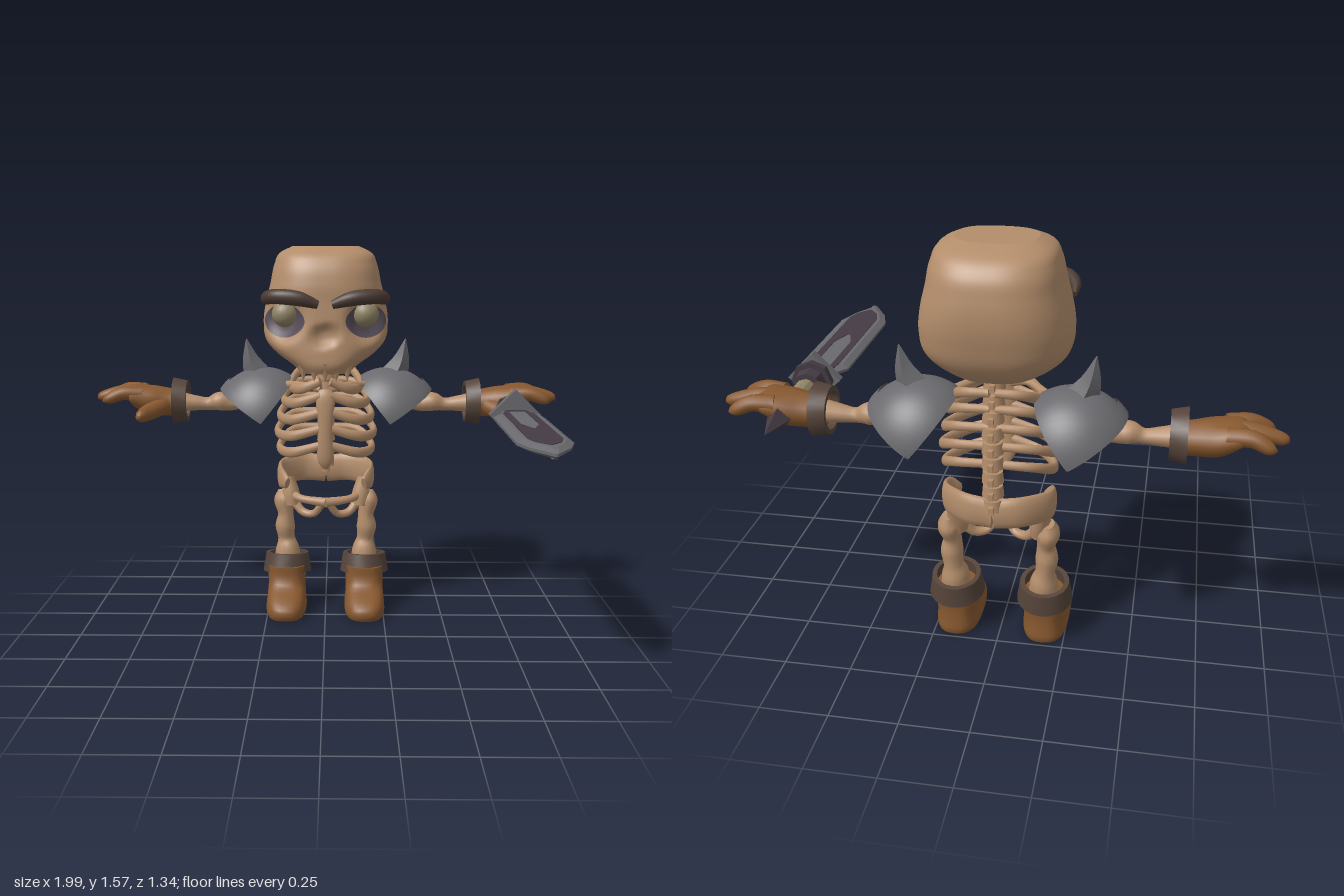
import * as THREE from 'three';
import { toCreasedNormals } from 'three/addons/utils/BufferGeometryUtils.js';

const mat = (name, color, side = THREE.FrontSide) => {
  const m = new THREE.MeshStandardMaterial({ color, side });
  m.name = name;
  return m;
};

// Smooth interpolation through rows of numbers
const smooth = (keys, rows) =>
  new THREE.CubicInterpolant(new Float32Array(keys), new Float32Array(rows.flat()), rows[0].length);

// Skin a list of closed rings, with flat end caps
function loft(rings) {
  const pos = [], idx = [], n = rings[0].length;
  const put = ring => ring.forEach(p => pos.push(p.x, p.y, p.z));
  rings.forEach(put);
  for (let i = 0; i < rings.length - 1; i++) {
    for (let k = 0; k < n; k++) {
      const a = i * n + k, b = i * n + (k + 1) % n;
      idx.push(a, b, b + n, a, b + n, a + n);
    }
  }
  [[rings[0], true], [rings[rings.length - 1], false]].forEach(([ring, start]) => {
    const base = pos.length / 3;
    put(ring);
    const c = ring.reduce((s, p) => s.add(p), new THREE.Vector3()).divideScalar(n);
    pos.push(c.x, c.y, c.z);
    for (let k = 0; k < n; k++) {
      const a = base + k, b = base + (k + 1) % n;
      idx.push(base + n, start ? b : a, start ? a : b);
    }
  });
  const g = new THREE.BufferGeometry();
  g.setAttribute('position', new THREE.Float32BufferAttribute(pos, 3));
  g.setIndex(idx);
  g.computeVertexNormals();
  return g;
}

// Sweep an ellipse along rows of [x, y, z, width radius, height radius]
function sweep(rows, up = [0, 1, 0], sides = 12, perRow = 5) {
  const f = smooth(rows.map((r, i) => i), rows), steps = (rows.length - 1) * perRow;
  const at = t => Array.from(f.evaluate(t)), U = new THREE.Vector3(...up), rings = [];
  for (let i = 0; i <= steps; i++) {
    const t = i / perRow, [x, y, z, a, b] = at(t);
    const p0 = at(Math.max(0, t - 0.05)), p1 = at(Math.min(rows.length - 1, t + 0.05));
    const T = new THREE.Vector3(p1[0] - p0[0], p1[1] - p0[1], p1[2] - p0[2]).normalize();
    const W = U.clone().cross(T).normalize(), V = T.clone().cross(W);
    rings.push(Array.from({ length: sides }, (_, k) => {
      const q = k / sides * Math.PI * 2;
      return new THREE.Vector3(x, y, z).addScaledVector(W, a * Math.cos(q)).addScaledVector(V, b * Math.sin(q));
    }));
  }
  return loft(rings);
}

// Rounded horizontal section: half width, front z, back z
function section(q, y, [hw, zf, zb], n) {
  const pw = v => Math.sign(v) * Math.pow(Math.abs(v), 2 / n);
  return new THREE.Vector3(hw * pw(Math.sin(q)), y, (zf + zb) / 2 + (zf - zb) / 2 * pw(Math.cos(q)));
}

function mirrored(geo) {
  const g = geo.clone().scale(-1, 1, 1);
  const i = g.index ? Array.from(g.index.array) : Array.from({ length: g.attributes.position.count }, (_, k) => k);
  for (let k = 0; k < i.length; k += 3) [i[k], i[k + 1]] = [i[k + 1], i[k]];
  g.setIndex(i);
  return g;
}

export function createModel() {
  const root = new THREE.Group();
  root.name = 'skeletonWarrior';
  const bone = mat('bone', 0xb38d6b), leather = mat('leather', 0x87582f);
  const cuffMat = mat('darkLeather', 0x55443a, THREE.DoubleSide), browMat = mat('brow', 0x4b3b34);
  const steel = mat('steel', 0x6a696d, THREE.DoubleSide), dark = mat('darkSteel', 0x443b44);
  const socketMat = mat('socket', 0x574d57, THREE.DoubleSide), wrap = mat('wrap', 0x918467);
  const add = (name, geo, m) => {
    const mesh = new THREE.Mesh(geo, m);
    mesh.name = name;
    root.add(mesh);
  };
  const pair = (name, geo, m) => {
    add(name + 'Left', geo, m);
    add(name + 'Right', mirrored(geo), m);
  };

  // Skull, with hollowed eye sockets and nose
  const skullRows = [
    [1.06, 0.10, -0.17, -0.40], [1.09, 0.14, -0.155, -0.53], [1.13, 0.20, -0.155, -0.59],
    [1.18, 0.248, -0.16, -0.63], [1.26, 0.262, -0.165, -0.657], [1.34, 0.252, -0.17, -0.67],
    [1.42, 0.232, -0.175, -0.665], [1.5, 0.214, -0.20, -0.64], [1.545, 0.19, -0.24, -0.59], [1.57, 0.14, -0.30, -0.52]];
  const skullAt = smooth(skullRows.map(r => r[0]), skullRows.map(r => r.slice(1)));
  const hollows = [[0.18, 1.275, -0.21, 0.085, 0.045], [-0.18, 1.275, -0.21, 0.085, 0.045], [0, 1.215, -0.162, 0.042, 0.035]];
  const skullPoint = (q, y, lift = 0) => {
    const p = section(q, y, skullAt.evaluate(y), 2.6);
    const out = new THREE.Vector3(p.x, 0, p.z + 0.41).normalize();
    for (const [x, hy, z, r, depth] of hollows) {
      const d = Math.hypot(p.x - x, p.y - hy, p.z - z) / r;
      lift -= depth * Math.exp(-(d ** 4));
    }
    return p.addScaledVector(out, lift);
  };
  add('skull', loft(Array.from({ length: 53 }, (_, i) => Array.from({ length: 80 }, (_, k) =>
    skullPoint(k / 80 * Math.PI * 2, 1.06 + 0.51 * i / 52)))), bone);

  // Socket lining that follows the skull surface, then eyes, brows and teeth
  const disc = new THREE.RingGeometry(0.001, 1, 36, 10), dp = disc.attributes.position;
  for (let i = 0; i < dp.count; i++) {
    const p = skullPoint(0.7 + 0.48 * dp.getX(i), 1.272 + 0.068 * dp.getY(i), 0.007);
    dp.setXYZ(i, p.x, p.y, p.z);
  }
  disc.computeVertexNormals();
  pair('eyeSocket', disc, socketMat);
  pair('eye', new THREE.SphereGeometry(0.055, 20, 14).translate(0.163, 1.3, -0.238), wrap);
  pair('brow', sweep([[0.03, 1.34, -0.175, 0.02, 0.018], [0.11, 1.365, -0.165, 0.026, 0.03],
    [0.2, 1.372, -0.19, 0.03, 0.03], [0.242, 1.362, -0.25, 0.022, 0.026], [0.248, 1.345, -0.31, 0.008, 0.01]]), browMat);
  for (let i = -2; i <= 2; i++) {
    const tooth = new THREE.ConeGeometry(0.028, 0.075, 8).rotateX(Math.PI);
    add('tooth', tooth.translate(i * 0.045, 1.065, -0.178 - 0.008 * i * i), bone);
  }

  // Spine
  const core = [[0, 0.58, -0.53], [0, 0.75, -0.535], [0, 0.92, -0.525], [0, 1.1, -0.48]];
  add('spineCore', sweep(core.map(p => [...p, 0.024, 0.024]), [0, 0, 1]), bone);
  const spineAt = smooth(core.map(p => p[1]), core);
  for (let i = 0; i < 9; i++) {
    const y = 0.63 + i * 0.056, z = spineAt.evaluate(y)[2];
    add('vertebra', new THREE.CylinderGeometry(0.036, 0.04, 0.042, 12).translate(0, y, z), bone);
    add('vertebraSpur', new THREE.BoxGeometry(0.018, 0.025, 0.03).translate(0, y - 0.005, z - 0.04), bone);
  }

  // Rib cage
  [[0.715, 0.2], [0.785, 0.208], [0.855, 0.197], [0.925, 0.18], [0.985, 0.15]].forEach(([y, w], i) => {
    pair('rib' + i, sweep([[0.01, y + 0.07, -0.53, 0.014, 0.016], [w * 0.7, y + 0.06, -0.515, 0.014, 0.018],
      [w, y + 0.005, -0.4, 0.014, 0.021], [w * 0.72, y, -0.28, 0.014, 0.022], [0.02, y + 0.035, -0.25, 0.014, 0.018]]), bone);
  });
  add('sternum', sweep([[0, 0.65, -0.258, 0.012, 0.01], [0, 0.7, -0.25, 0.034, 0.02], [0, 0.83, -0.245, 0.03, 0.02],
    [0, 0.94, -0.25, 0.04, 0.02], [0, 0.985, -0.26, 0.03, 0.014]], [0, 0, 1]), bone);
  pair('collarbone', sweep([[0.02, 0.985, -0.265, 0.018, 0.016], [0.1, 1.0, -0.3, 0.014, 0.014], [0.22, 0.98, -0.44, 0.022, 0.02]]), bone);

  // Pelvis: hip wings and the lower ring
  pair('hipWing', sweep([[0, 0.59, -0.54, 0.026, 0.06], [0.1, 0.6, -0.53, 0.02, 0.062], [0.185, 0.595, -0.46, 0.016, 0.06],
    [0.195, 0.585, -0.39, 0.014, 0.052], [0.165, 0.565, -0.345, 0.012, 0.026]]), bone);
  pair('hipSocket', sweep([[0.15, 0.45, -0.42, 0.035, 0.04], [0.155, 0.5, -0.43, 0.04, 0.045], [0.165, 0.57, -0.45, 0.025, 0.045]], [0, 0, 1]), bone);
  pair('pubis', sweep([[0.15, 0.5, -0.42, 0.02, 0.022], [0.1, 0.49, -0.37, 0.016, 0.017], [0, 0.48, -0.345, 0.02, 0.022]]), bone);
  pair('sitBone', sweep([[0.14, 0.47, -0.42, 0.02, 0.02], [0.1, 0.425, -0.4, 0.018, 0.02],
    [0.05, 0.425, -0.375, 0.016, 0.018], [0.015, 0.475, -0.35, 0.016, 0.016]], [0, 0, 1]), bone);

  // Legs and boots
  pair('leg', sweep([[0.17, 0.17, -0.42, 0.06, 0.06], [0.17, 0.25, -0.43, 0.052, 0.06], [0.175, 0.3, -0.435, 0.037, 0.045],
    [0.18, 0.355, -0.43, 0.043, 0.05], [0.177, 0.41, -0.43, 0.034, 0.044], [0.187, 0.47, -0.44, 0.042, 0.054],
    [0.187, 0.515, -0.45, 0.022, 0.03]], [0, 0, 1]), bone);
  const bootRows = [[0.005, 0.082, -0.162, -0.482], [0.02, 0.087, -0.153, -0.487], [0.06, 0.085, -0.162, -0.484], [0.09, 0.082, -0.21, -0.482],
    [0.115, 0.081, -0.262, -0.482], [0.15, 0.082, -0.285, -0.485], [0.2, 0.084, -0.29, -0.49]];
  const bootAt = smooth(bootRows.map(r => r[0]), bootRows.map(r => r.slice(1)));
  const bootRings = Array.from({ length: 17 }, (_, i) => {
    const y = 0.005 + 0.195 * i / 16, row = bootAt.evaluate(y);
    return Array.from({ length: 32 }, (_, k) => section(k / 32 * Math.PI * 2, y, row, 2.7));
  });
  pair('boot', loft(bootRings).translate(0.17, 0, 0), leather);
  const cuff = r => toCreasedNormals(new THREE.LatheGeometry([[0.075, -0.04], [0.106, -0.04], [0.093, 0.04], [0.075, 0.04], [0.075, -0.04]]
    .map(([x, y]) => new THREE.Vector2(x * r, y)), 20), 0.6);
  pair('bootCuff', cuff(1).scale(1, 1, 1.05).rotateX(-0.14).translate(0.17, 0.2, -0.405), cuffMat);

  // Arms, glove cuffs and gloves
  pair('arm', sweep([[0.19, 0.97, -0.45, 0.035, 0.035], [0.3, 0.925, -0.45, 0.026, 0.028], [0.4, 0.9, -0.45, 0.03, 0.032],
    [0.46, 0.907, -0.45, 0.042, 0.042], [0.51, 0.897, -0.45, 0.027, 0.028], [0.57, 0.9, -0.45, 0.036, 0.034], [0.64, 0.905, -0.45, 0.048, 0.045]]), bone);
  pair('gloveCuff', cuff(0.95).scale(1, 0.75, 1).rotateZ(Math.PI / 2).translate(0.63, 0.91, -0.45), cuffMat);
  pair('glovePalm', sweep([[0.62, 0.9, -0.45, 0.06, 0.055], [0.69, 0.905, -0.45, 0.07, 0.062], [0.76, 0.915, -0.45, 0.09, 0.064],
    [0.83, 0.94, -0.455, 0.097, 0.044], [0.865, 0.94, -0.455, 0.07, 0.022]]), leather);
  [[-0.51, 0.95, -0.54], [-0.455, 0.995, -0.46], [-0.4, 0.955, -0.375]].forEach(([z0, tipX, z1], i) => {
    pair('finger' + i, sweep([[0.79, 0.945, z0, 0.034, 0.034], [0.87, 0.95, (z0 + z1) / 2, 0.031, 0.03],
      [tipX - 0.025, 0.928, z1, 0.024, 0.023], [tipX, 0.918, z1, 0.006, 0.006]]), leather);
  });
  pair('thumb', sweep([[0.7, 0.895, -0.41, 0.04, 0.04], [0.755, 0.875, -0.34, 0.036, 0.035],
    [0.775, 0.868, -0.275, 0.024, 0.026], [0.776, 0.868, -0.25, 0.006, 0.006]]), leather);

  // Shoulder plates: wedges of a dome, with rim and spike
  const wedge = (r, from, to) => new THREE.SphereGeometry(r, 20, 24, Math.PI + from, to - from)
    .rotateX(Math.PI / 2).scale(1, 1, 0.9).translate(0.27, 0.84, -0.45);
  pair('shoulderPlate', wedge(0.217, 0.6, 2.25), steel);
  pair('shoulderRim', wedge(0.225, 0.59, 0.85), steel);
  pair('shoulderSpike', toCreasedNormals(sweep([[0.295, 1.02, -0.45, 0.062, 0.062], [0.325, 1.09, -0.45, 0.036, 0.036],
    [0.342, 1.18, -0.45, 0.002, 0.002]], [0, 0, 1], 4, 3), 0.5), steel);

  // Sword held in the left hand, pointing forward
  const outline = pts => pts.concat(pts.slice().reverse().map(([x, z]) => [-x, z])).map(p => new THREE.Vector2(...p));
  const plate = (edge, slot, depth, bevel, size) => {
    const shape = new THREE.Shape(outline(edge));
    shape.holes.push(new THREE.Path(outline(slot)));
    return new THREE.ExtrudeGeometry(shape, { depth, bevelEnabled: bevel > 0, bevelThickness: bevel, bevelSize: size, bevelOffset: -size, bevelSegments: 1 })
      .translate(0, 0, -depth / 2).rotateX(Math.PI / 2).translate(0.77, 0.9, 0);
  };
  add('bladeEdge', plate([[0.06, -0.14], [0.07, -0.1], [0.1, -0.06], [0.1, 0.47], [0.07, 0.56], [0.004, 0.67]],
    [[0.037, -0.1], [0.037, 0.18], [0.004, 0.275]], 0.01, 0.013, 0.024), steel);
  add('bladeCore', plate([[0.04, -0.14], [0.062, -0.06], [0.062, 0.47], [0.045, 0.53], [0.004, 0.58]],
    [[0.034, -0.125], [0.034, 0.18], [0.004, 0.27]], 0.041, 0, 0), dark);
  const rod = (name, m, r0, r1, z0, z1, sides) => add(name, toCreasedNormals(
    new THREE.CylinderGeometry(r1, r0, z1 - z0, sides).rotateX(Math.PI / 2).translate(0.77, 0.9, (z0 + z1) / 2), 0.5), m);
  rod('guard', steel, 0.104, 0.104, -0.172, -0.136, 4);
  rod('guardCollar', dark, 0.08, 0.08, -0.2, -0.172, 8);
  rod('gripCollar', dark, 0.055, 0.06, -0.25, -0.2, 8);
  rod('grip', wrap, 0.03, 0.033, -0.54, -0.25, 12);
  for (let i = 0; i < 7; i++) rod('gripWrap', wrap, 0.034, 0.039, -0.3 - i * 0.036, -0.27 - i * 0.036, 12);
  rod('pommelSpike', dark, 0.002, 0.045, -0.66, -0.53, 4);

  return root;
}
